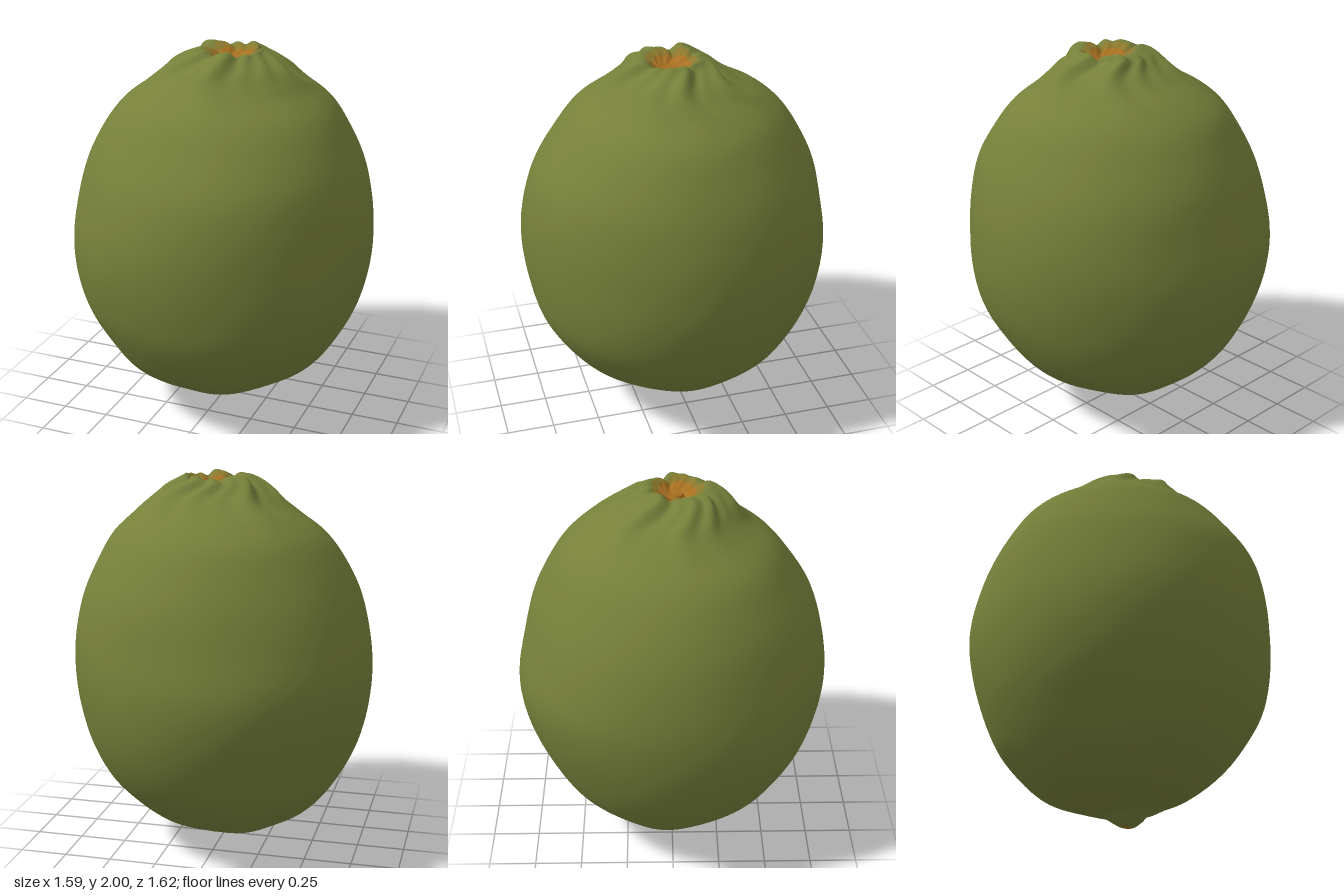
import * as THREE from 'three';

const mat = (name, color) => Object.assign(new THREE.MeshStandardMaterial({ color }), { name });

// Cross-sections from tip to crown: [y, left x, right x, back z, front z]
const SECTIONS = [
  [0.0, 0.045, 0.045, 0.0, 0.0],
  [0.012, 0.0, 0.09, -0.04, 0.04],
  [0.04, -0.04, 0.125, -0.085, 0.085],
  [0.07, -0.09, 0.15, -0.13, 0.13],
  [0.1, -0.23, 0.21, -0.22, 0.21],
  [0.14, -0.36, 0.28, -0.33, 0.31],
  [0.2, -0.46, 0.4, -0.43, 0.41],
  [0.3, -0.565, 0.53, -0.54, 0.54],
  [0.42, -0.645, 0.63, -0.64, 0.64],
  [0.6, -0.73, 0.725, -0.73, 0.745],
  [0.8, -0.785, 0.775, -0.79, 0.795],
  [1.0, -0.8, 0.79, -0.81, 0.81],
  [1.2, -0.77, 0.78, -0.775, 0.79],
  [1.4, -0.71, 0.735, -0.72, 0.735],
  [1.58, -0.62, 0.65, -0.63, 0.625],
  [1.7, -0.53, 0.57, -0.55, 0.53],
  [1.79, -0.41, 0.47, -0.44, 0.41],
  [1.85, -0.32, 0.4, -0.33, 0.345],
  [1.91, -0.245, 0.32, -0.23, 0.29],
  [1.96, -0.17, 0.23, -0.17, 0.23],
  [1.98, -0.11, 0.2, -0.12, 0.18],
  [1.965, -0.06, 0.175, -0.08, 0.135],
  [1.945, -0.03, 0.15, -0.055, 0.11],
  [1.925, 0.01, 0.11, -0.02, 0.075],
  [1.915, 0.06, 0.06, 0.03, 0.03],
];

const smooth = (a, b, v) => THREE.MathUtils.smoothstep(v, a, b);

// Builds the skin as one closed surface, grouped by material
function fruitGeometry() {
  const sides = 96, steps = 5, rows = (SECTIONS.length - 1) * steps;
  const spline = (lo, hi) => new THREE.CatmullRomCurve3(
    SECTIONS.map((s) => new THREE.Vector3(s[lo], s[0], s[hi])), false, 'catmullrom', 0.5);
  const across = spline(1, 2), deep = spline(3, 4);
  const pos = [], index = [];

  for (let i = 0; i <= rows; i++) {
    const a = across.getPoint(i / rows), d = deep.getPoint(i / rows);
    const row = i / steps;
    const cx = (a.x + a.z) / 2, rx = Math.max(0, (a.z - a.x) / 2);
    const cz = (d.x + d.z) / 2, rz = Math.max(0, (d.z - d.x) / 2);
    // Puckers are strongest around the crown rim, faint around the tip
    const crown = smooth(15, 18.5, row) * (1 - smooth(20.5, 23.5, row));
    const base = smooth(2, 4.5, row) * (1 - smooth(5, 8, row));
    const body = smooth(6, 9, row) * (1 - smooth(14, 17, row));
    for (let j = 0; j < sides; j++) {
      const t = (j / sides) * Math.PI * 2;
      const twist = t + 0.12 * Math.sin(row * 1.7);
      const fold = 0.5 * Math.sin(5 * twist + 0.6) + 0.35 * Math.sin(8 * twist + 2.1)
        + 0.25 * Math.sin(13 * twist + row * 0.8);
      const swell = 1 + 0.05 * crown * fold + 0.03 * base * Math.sin(6 * t + 1)
        + body * (0.006 * Math.sin(3 * t + 1.3 * row) + 0.004 * Math.sin(7 * t - row));
      const y = a.y + 0.02 * crown * fold;
      pos.push(cx + rx * swell * Math.cos(t), THREE.MathUtils.clamp(y, 0, 2), cz + rz * swell * Math.sin(t));
    }
  }

  const geo = new THREE.BufferGeometry();
  // Material bands: [last row, material]
  const bands = [[3, 1], [20.4 * steps, 0], [21.4 * steps, 2], [rows, 1]];
  let first = 0;
  for (const [last, material] of bands) {
    const start = index.length;
    for (let i = first; i < last; i++) {
      for (let j = 0; j < sides; j++) {
        const p = i * sides + j, q = i * sides + ((j + 1) % sides);
        if (i > 0) index.push(p, p + sides, q);
        if (i < rows - 1 || i === 0) index.push(q, p + sides, q + sides);
      }
    }
    geo.addGroup(start, index.length - start, material);
    first = last;
  }
  geo.setAttribute('position', new THREE.Float32BufferAttribute(pos, 3));
  geo.setIndex(index);
  geo.computeVertexNormals();
  return geo;
}

export function createModel() {
  const group = new THREE.Group();
  group.name = 'citrusFruit';
  const peel = mat('greenPeel', 0x76803a);
  const scar = mat('orangeStemScar', 0xa87020);
  const blend = mat('oliveScarEdge', 0x8c782c);

  // Peel with stem scar and blossom tip
  const skin = new THREE.Mesh(fruitGeometry(), [peel, scar, blend]);
  skin.name = 'fruitSkin';
  group.add(skin);

  // Dried stem stub in the crater
  const stub = new THREE.Mesh(new THREE.CylinderGeometry(0.03, 0.042, 0.03, 7), scar);
  stub.name = 'stemStub';
  stub.position.set(0.06, 1.925, 0.03);
  group.add(stub);
  return group;
}
